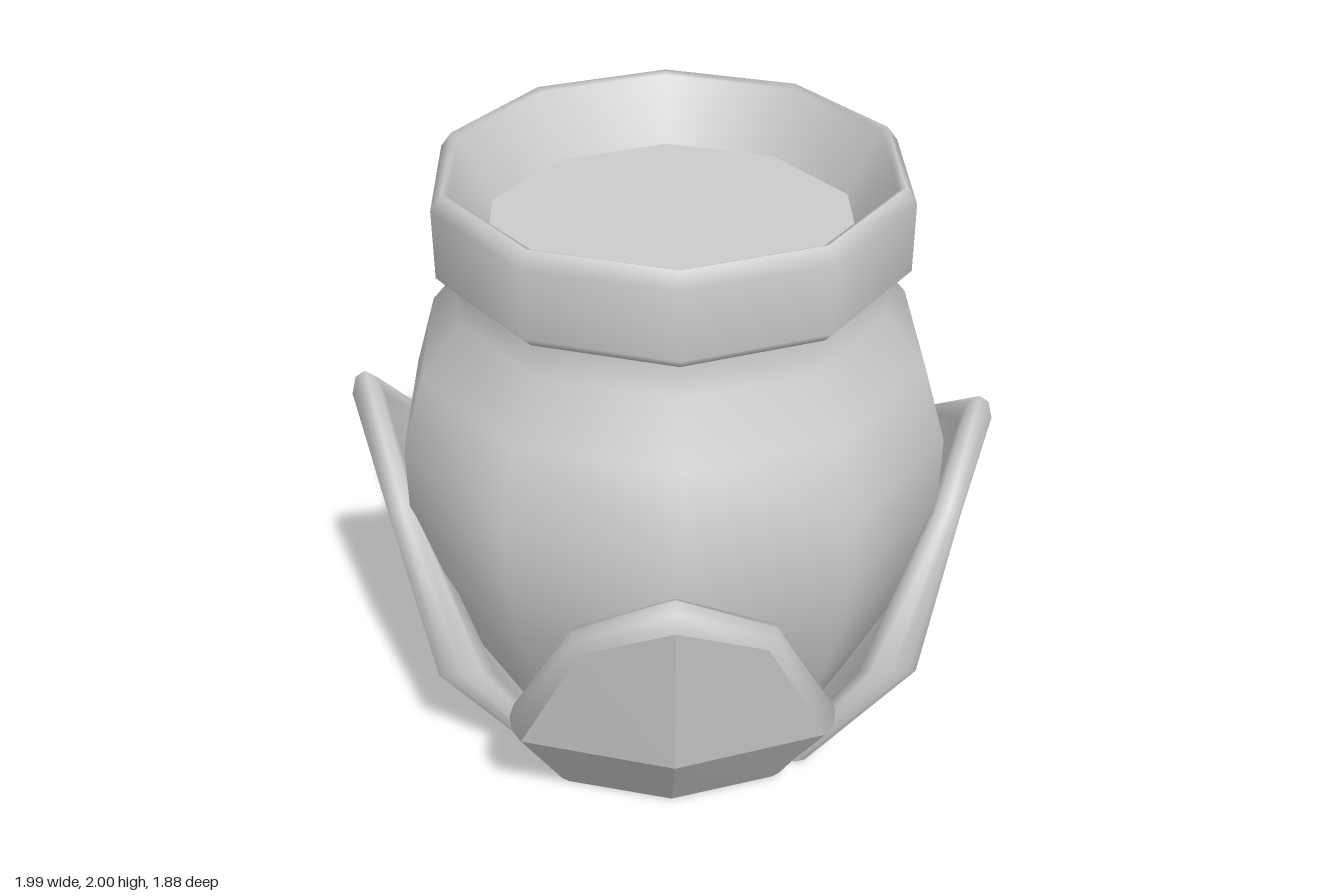
import * as THREE from 'three';

const SIDES = 10;
const makeMaterial = (flatShading) =>
  new THREE.MeshStandardMaterial({ color: 0xcccccc, side: THREE.DoubleSide, flatShading });
const smooth = makeMaterial(false);
const flat = makeMaterial(true);

function named(geometry, material, name) {
  const mesh = new THREE.Mesh(geometry, material);
  mesh.name = name;
  return mesh;
}

// Ten-sided turned part from [radius, y] pairs
function turned(profile, name) {
  const points = profile.map(([r, y]) => new THREE.Vector2(r, y));
  return named(new THREE.LatheGeometry(points, SIDES), smooth, name);
}

function geometryFrom(points, index) {
  const geometry = new THREE.BufferGeometry();
  geometry.setAttribute('position', new THREE.Float32BufferAttribute(points.flat(), 3));
  geometry.setIndex(index);
  geometry.computeVertexNormals();
  return geometry;
}

// Petal facing +z: faceted outer face with a soft ridge, rounded rim, hollow inside, open foot
function makePetal({ name, angle, x = 0, z = 0, push, tipY, tipDepth }) {
  const lift = (tipY - 1.05) * 0.15;
  // Half outline: point, direction in which the rim bulges, thickness of the rim
  const half = [
    { p: [0.33, 0, 0.43 + push], n: [1, 0], thick: 0.1 },
    { p: [0.455, 0.465, 0.735 + push], n: [1.1, 0.8], thick: 0.18 },
    { p: [0.265, 0.91 + lift, 0.865 + push], n: [0.8, 1.3], thick: 0.1 },
  ];
  const mirror = ({ p, n, thick }) => ({ p: [-p[0], p[1], p[2]], n: [-n[0], n[1]], thick });
  const outline = [
    ...half.map(mirror),
    { p: [0, tipY, tipDepth], n: [0, 2.5], thick: 0.1 },
    ...half.slice().reverse(),
  ];
  const count = outline.length;
  const foot = [0, 0, 0.52 + push];
  const middle = [0, 0.46, 0.86 + push];

  // Outer face: a fan around the ridge point
  const fan = [];
  for (let i = 0; i < count - 1; i++) fan.push(count, i + 1, i);
  fan.push(count + 1, count, 0, count, count + 1, count - 1);
  const face = geometryFrom([...outline.map((o) => o.p), middle, foot], fan);

  // Rim levels: [bulge outwards, share of the thickness]
  const levels = [[0, 0], [0.024, 0.15], [0.033, 0.45], [0.024, 0.8], [0, 1]];
  const points = [];
  const index = [];
  levels.forEach(([out, share], l) => {
    outline.forEach(({ p, n, thick }, i) => {
      points.push([p[0] + n[0] * out, p[1] + n[1] * out, p[2] - thick * share]);
      if (l < levels.length - 1 && i < count - 1) {
        const a = l * count + i;
        const c = a + count;
        index.push(a, a + 1, c, a + 1, c + 1, c);
      }
    });
  });
  // Inner face
  const start = (levels.length - 1) * count;
  const m = points.length;
  points.push([0, 0.46, middle[2] - 0.1], [0, 0, foot[2] - 0.07]);
  for (let i = 0; i < count - 1; i++) index.push(m, start + i, start + i + 1);
  index.push(m + 1, start, m, m, start + count - 1, m + 1);
  const rim = geometryFrom(points, index);

  const petal = new THREE.Group();
  petal.name = name;
  petal.add(named(face, flat, 'petalFace'), named(rim, smooth, 'petalRim'));
  petal.rotation.y = angle;
  petal.position.set(x, 0, z);
  return petal;
}

export function createModel() {
  const model = new THREE.Group();
  model.name = 'petalJar';

  // Jar: body, collar and recessed top, slightly wider in x
  const jar = new THREE.Group();
  jar.name = 'jar';
  jar.add(turned([
    [0.46, 0], [0.55, 0.2], [0.69, 0.5], [0.785, 0.78], [0.82, 0.98],
    [0.82, 1.19], [0.75, 1.43], [0.627, 1.59], [0.627, 1.72],
  ], 'body'));
  jar.add(turned([
    [0.54, 1.71], [0.655, 1.71], [0.687, 1.745], [0.687, 1.955],
    [0.655, 2], [0.635, 1.99], [0.54, 1.8],
  ], 'collar'));
  const disc = named(new THREE.CircleGeometry(0.54, SIDES, Math.PI / 2), flat, 'recessedTop');
  disc.rotation.x = -Math.PI / 2;
  disc.position.y = 1.8;
  jar.add(disc);
  jar.scale.x = 1.032;
  jar.position.set(-0.01, 0, -0.023);
  model.add(jar);

  // Four petals of slightly different height
  const petals = [
    { name: 'frontPetal', angle: 0, x: -0.03, push: -0.015, tipY: 1.05, tipDepth: 0.94 },
    { name: 'leftPetal', angle: Math.PI / 2, z: -0.015, push: 0, tipY: 1.105, tipDepth: 0.99 },
    { name: 'backPetal', angle: Math.PI, x: -0.01, push: 0.022, tipY: 1.1, tipDepth: 0.945 },
    { name: 'rightPetal', angle: -Math.PI / 2, z: -0.04, push: 0.015, tipY: 1.22, tipDepth: 0.995 },
  ];
  petals.forEach((petal) => model.add(makePetal(petal)));

  return model;
}
